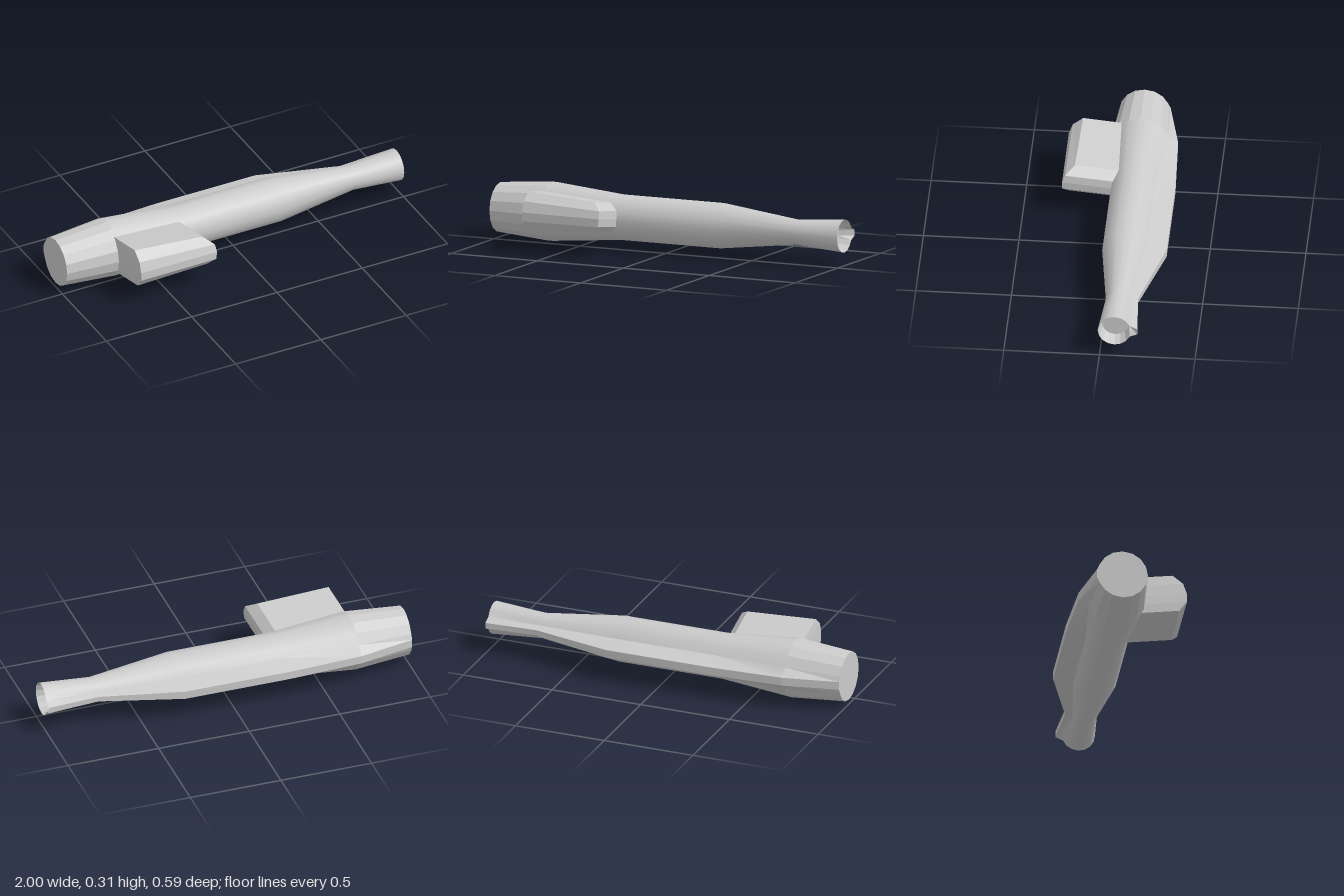
import * as THREE from 'three';
import { toCreasedNormals } from 'three/addons/utils/BufferGeometryUtils.js';

const CY = 0.16, CZ = -0.078;

// Skin a list of equal-length closed rings; each ring turns against the loft direction.
function loft(rings, { capStart = false, capEnd = false, crease = 0, extra = [] } = {}) {
  const n = rings[0].length, index = [];
  for (let i = 0; i < rings.length - 1; i++) {
    for (let j = 0; j < n; j++) {
      const a = i * n + j, b = i * n + (j + 1) % n;
      index.push(a, a + n, b, b, a + n, b + n);
    }
  }
  const last = (rings.length - 1) * n;
  for (let j = 1; j < n - 1; j++) {
    if (capStart) index.push(0, j, j + 1);
    if (capEnd) index.push(last, last + j + 1, last + j);
  }
  index.push(...extra);
  const g = new THREE.BufferGeometry();
  g.setAttribute('position', new THREE.Float32BufferAttribute(rings.flat(2), 3));
  g.setIndex(index);
  if (crease) return toCreasedNormals(g, crease);
  const flat = g.toNonIndexed();
  flat.computeVertexNormals();
  return flat;
}

// Teardrop section: 15 points of a 16-sided circle, plus a blunt two-point ridge at the back.
function teardrop(x, r, tipZ, tipHalf) {
  const ring = [];
  for (let k = 0; k < 16; k++) {
    if (k === 8) {
      ring.push([x, CY + tipHalf, tipZ], [x, CY - tipHalf, tipZ]);
    } else {
      const a = k * Math.PI / 8;
      ring.push([x, CY + r * Math.sin(a), CZ + r * Math.cos(a)]);
    }
  }
  return ring;
}

export function createModel() {
  const group = new THREE.Group();
  const material = new THREE.MeshStandardMaterial({ color: 0xcccccc });
  const add = (name, geometry, flatShading = false) => {
    const m = flatShading
      ? new THREE.MeshStandardMaterial({ color: 0xcccccc, flatShading: true }) : material;
    const mesh = new THREE.Mesh(geometry, m);
    mesh.name = name;
    group.add(mesh);
  };

  const shoulder = teardrop(-0.7, 0.157, -0.275, 0.022);
  const mouth = teardrop(1, 0.087, -0.198, 0.016);

  // Faceted, closed end section
  add('endSection', loft([teardrop(-1, 0.132, -0.213, 0.022), shoulder], { capStart: true }), true);

  // Long smooth body with a ridge along the back
  add('body', loft([
    shoulder,
    teardrop(-0.3, 0.121, -0.294, 0.022),
    teardrop(0.28, 0.121, -0.294, 0.022),
    teardrop(0.72, 0.067, -0.18, 0.014),
    mouth,
  ], { crease: 0.6 }));

  // Shallow recess in the narrow end
  add('mouthRecess', loft([mouth, teardrop(0.93, 0.07, CZ - 0.07, 0.012)], { capEnd: true }), true);

  // Side pod: right and left edges of its rounded outer face, from top to bottom
  const right = [[-0.30, 0.285, 0.232], [-0.25, 0.25, 0.28], [-0.245, 0.21, 0.295],
    [-0.25, 0.168, 0.295], [-0.29, 0.13, 0.262]];
  const left = [[-0.69, 0.312, 0.22], [-0.69, 0.268, 0.275], [-0.69, 0.212, 0.295],
    [-0.69, 0.165, 0.295], [-0.69, 0.112, 0.255]];
  const outer = [...right, ...left.reverse()];
  const rootZ = -0.03;
  const root = outer.map(([x, y, z]) => [x - 0.085 * (z - rootZ), y - 0.155 * (z - rootZ), rootZ]);
  const face = [];
  for (let i = 0; i < 4; i++) {
    const r0 = 10 + i, l0 = 19 - i;
    face.push(r0, l0, l0 - 1, r0, l0 - 1, r0 + 1);
  }
  add('sidePod', loft([root, outer], { capStart: true, extra: face }), true);

  return group;
}
